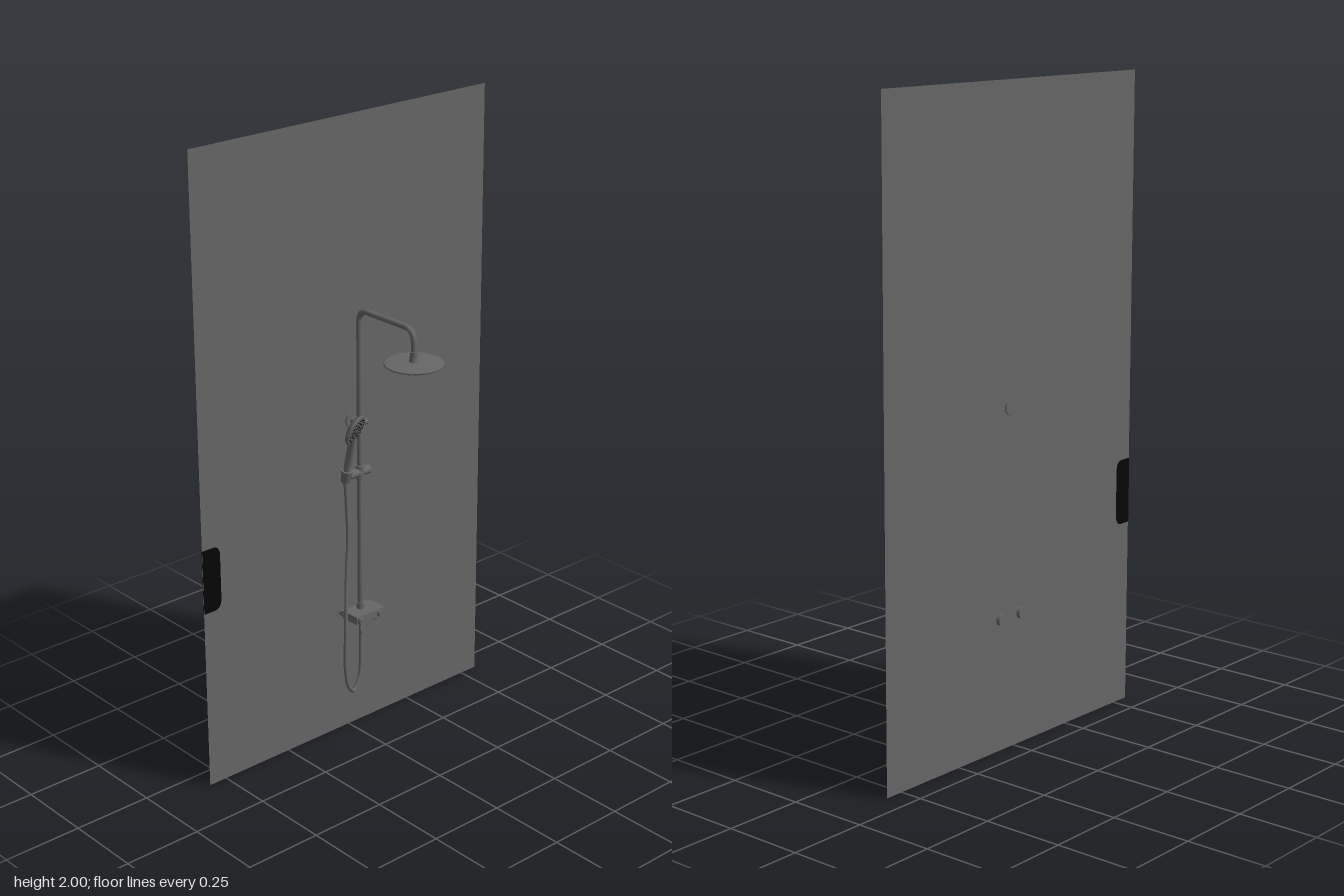
import * as THREE from 'three';

export function createModel() {
  const root = new THREE.Group();
  const V = (x, y, z) => new THREE.Vector3(x, y, z);
  const grey = new THREE.MeshStandardMaterial({ color: 0x666666 });
  grey.name = 'grey metal';
  const panelGrey = new THREE.MeshStandardMaterial({ color: 0x666666, side: THREE.DoubleSide });
  panelGrey.name = 'grey panel';
  const black = new THREE.MeshStandardMaterial({ color: 0x060606, side: THREE.DoubleSide });
  black.name = 'black';

  const add = (name, geo, mat = grey, parent = root) => {
    const m = new THREE.Mesh(geo, mat);
    m.name = name;
    parent.add(m);
    return m;
  };
  // Cylinder or cone running from a to b
  const rod = (name, a, b, r1, r2 = r1, parent = root) => {
    const d = b.clone().sub(a);
    const m = add(name, new THREE.CylinderGeometry(r2, r1, d.length(), 32), grey, parent);
    m.position.copy(a).addScaledVector(d, 0.5);
    m.quaternion.setFromUnitVectors(V(0, 1, 0), d.normalize());
    return m;
  };
  // Rings of small nozzles on the y = 0 plane, pointing down
  const nozzles = (parent, y, rings, step, r) => {
    for (let i = 1; i <= rings; i++) {
      for (let k = 0; k < i * 6; k++) {
        const a = (k / (i * 6)) * Math.PI * 2;
        const m = add('nozzle', new THREE.CylinderGeometry(r, r * 0.7, 0.003, 8), black, parent);
        m.position.set(Math.cos(a) * i * step, y, Math.sin(a) * i * step);
      }
    }
  };

  // Flat wall panel, facing +x
  const WX = -0.178, PZ = -0.02, PX = -0.14;
  const wall = add('wallPanel', new THREE.PlaneGeometry(1.124, 2), panelGrey);
  wall.rotation.y = Math.PI / 2;
  wall.position.set(WX, 1, 0);

  // Black rounded patch at the panel edge, on both faces
  const patch = new THREE.Shape();
  patch.moveTo(-0.562, 0.586);
  patch.lineTo(-0.52, 0.586);
  patch.quadraticCurveTo(-0.497, 0.59, -0.497, 0.62);
  patch.lineTo(-0.497, 0.76);
  patch.quadraticCurveTo(-0.497, 0.79, -0.52, 0.793);
  patch.lineTo(-0.562, 0.793);
  for (const s of [-1, 1]) {
    const p = add('edgePatch', new THREE.ShapeGeometry(patch), black);
    p.rotation.y = Math.PI / 2;
    p.position.x = WX + s * 0.0015;
  }

  // Riser pipe with two bends
  const riser = new THREE.CurvePath();
  riser.add(new THREE.LineCurve3(V(PX, 0.41, PZ), V(PX, 1.375, PZ)));
  riser.add(new THREE.QuadraticBezierCurve3(V(PX, 1.375, PZ), V(PX, 1.415, PZ), V(PX + 0.04, 1.415, PZ)));
  riser.add(new THREE.LineCurve3(V(PX + 0.04, 1.415, PZ), V(0.06, 1.415, PZ)));
  riser.add(new THREE.QuadraticBezierCurve3(V(0.06, 1.415, PZ), V(0.1, 1.415, PZ), V(0.1, 1.375, PZ)));
  riser.add(new THREE.LineCurve3(V(0.1, 1.375, PZ), V(0.1, 1.33, PZ)));
  add('riserPipe', new THREE.TubeGeometry(riser, 260, 0.009, 16));

  // Rain head
  const rain = new THREE.Group();
  rain.name = 'rainHead';
  rain.position.set(0.1, 1.312, PZ);
  root.add(rain);
  const disc = [[0, -0.004], [0.086, -0.004], [0.0885, -0.002], [0.0885, 0.001], [0.085, 0.003], [0.02, 0.006], [0, 0.006]];
  add('rainDisc', new THREE.LatheGeometry(disc.map(p => new THREE.Vector2(...p)), 64), grey, rain);
  rod('rainCollar', V(0, 0.004, 0), V(0, 0.018, 0), 0.015, 0.012, rain);
  rod('rainNut', V(0, 0.018, 0), V(0, 0.036, 0), 0.012, 0.012, rain);
  nozzles(rain, -0.005, 7, 0.0115, 0.0024);

  // Upper wall bracket
  rod('bracketFlange', V(-0.183, 1.05, PZ), V(-0.172, 1.05, PZ), 0.025);
  rod('bracketStem', V(-0.175, 1.05, PZ), V(PX, 1.05, PZ), 0.01);
  rod('bracketCollar', V(PX, 1.028, PZ), V(PX, 1.072, PZ), 0.014);
  rod('bracketKnob', V(PX, 1.05, PZ), V(PX, 1.05, -0.046), 0.009);

  // Sliding holder for the hand shower
  rod('holderBar', V(PX, 0.89, -0.055), V(PX, 0.89, 0.025), 0.014);
  rod('holderSleeve', V(PX, 0.868, PZ), V(PX, 0.912, PZ), 0.014);
  rod('holderSocket', V(-0.146, 0.872, 0.033), V(-0.138, 0.91, 0.033), 0.015, 0.018);

  // Hand shower
  const handle = new THREE.CatmullRomCurve3([V(-0.146, 0.868, 0.034), V(-0.135, 0.93, 0.033), V(-0.119, 0.99, 0.034), V(-0.107, 1.035, 0.037)]);
  add('handShowerHandle', new THREE.TubeGeometry(handle, 24, 0.0115, 16));
  const hand = new THREE.Group();
  hand.name = 'handShowerHead';
  hand.position.set(-0.094, 1.058, 0.038);
  hand.quaternion.setFromUnitVectors(V(0, -1, 0), V(0.85, -0.36, -0.34).normalize());
  root.add(hand);
  const bowl = [[0, -0.006], [0.044, -0.006], [0.05, -0.003], [0.05, 0.001], [0.042, 0.009], [0.025, 0.016], [0, 0.018]];
  add('handShowerBowl', new THREE.LatheGeometry(bowl.map(p => new THREE.Vector2(...p)), 48), grey, hand);
  nozzles(hand, -0.007, 3, 0.0125, 0.0022);

  // Hose hanging in a loop from handle to mixer
  const hose = new THREE.CatmullRomCurve3([
    V(-0.146, 0.875, 0.034), V(-0.148, 0.8, 0.028), V(-0.147, 0.68, 0.024), V(-0.142, 0.575, 0.034),
    V(-0.124, 0.44, 0.054), V(-0.118, 0.36, 0.061), V(-0.12, 0.26, 0.062), V(-0.122, 0.175, 0.047),
    V(-0.13, 0.148, 0.018), V(-0.137, 0.185, -0.011), V(-0.138, 0.28, -0.018), V(-0.138, 0.4, -0.018)]);
  add('hose', new THREE.TubeGeometry(hose, 160, 0.006, 12));
  rod('hoseNut', V(-0.138, 0.375, -0.018), V(-0.138, 0.405, -0.018), 0.009);

  // Mixer shelf with wall connections
  const shelf = add('mixerShelf', new THREE.BoxGeometry(0.07, 0.026, 0.115));
  shelf.position.set(-0.128, 0.412, -0.022);
  for (const z of [-0.066, 0.028]) {
    rod('mixerFlange', V(-0.19, 0.412, z), V(-0.176, 0.412, z), 0.0165);
    rod('mixerInlet', V(-0.178, 0.412, z), V(-0.155, 0.412, z), 0.01);
  }
  rod('riserNut', V(PX, 0.42, PZ), V(PX, 0.445, PZ), 0.013);
  // Lever and diverter
  rod('leverHub', V(-0.1, 0.412, 0.022), V(-0.081, 0.412, 0.022), 0.012);
  const lever = add('lever', new THREE.CylinderGeometry(0.013, 0.013, 0.006, 32));
  lever.rotation.z = Math.PI / 2;
  lever.scale.x = 1.9;
  lever.position.set(-0.081, 0.397, 0.022);
  rod('diverterKnob', V(-0.1, 0.41, -0.058), V(-0.082, 0.41, -0.058), 0.011);
  rod('spout', V(-0.115, 0.385, -0.058), V(-0.115, 0.405, -0.058), 0.011);

  return root;
}
